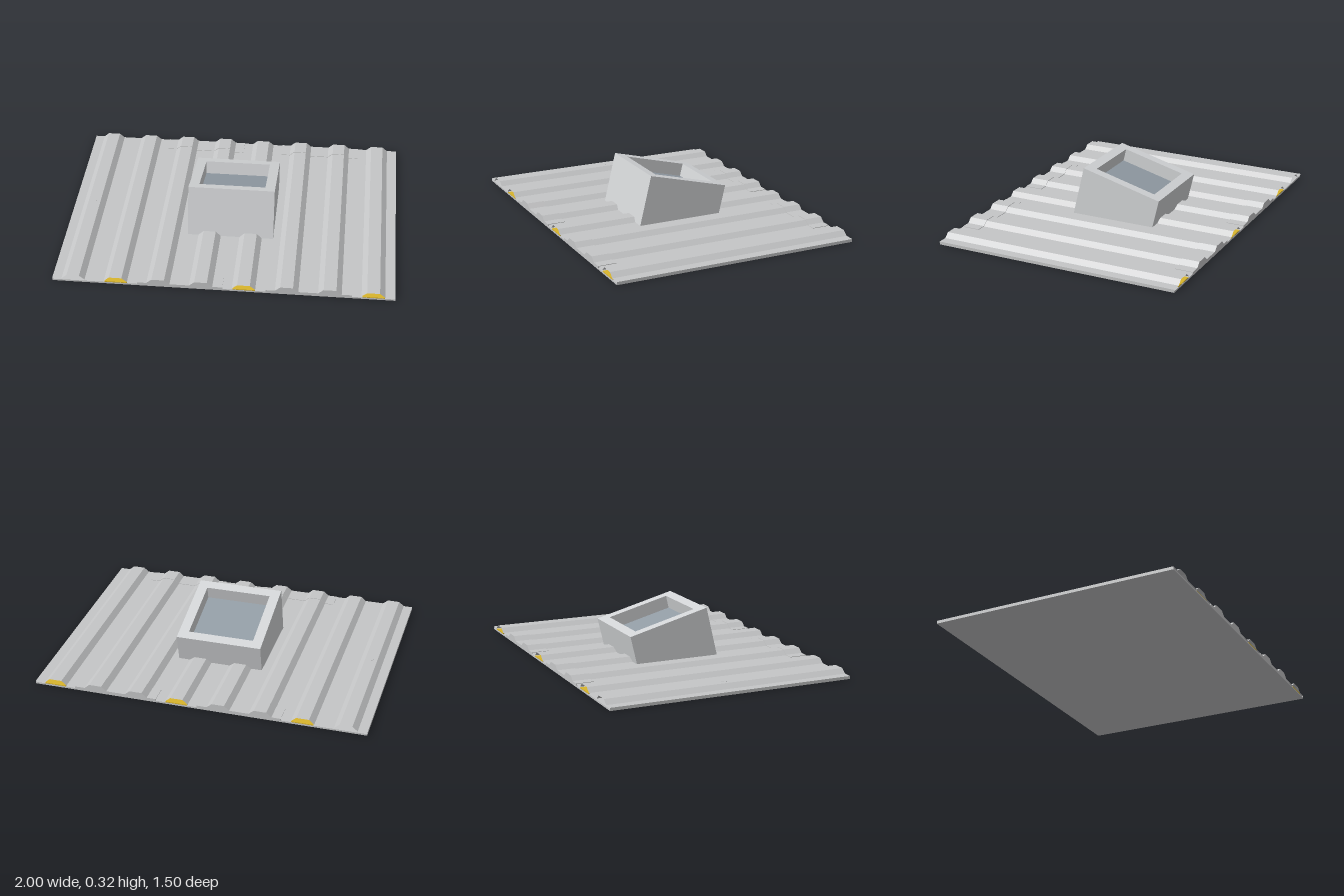
import * as THREE from 'three';

const mat = (name, color, side = THREE.FrontSide) => {
  const m = new THREE.MeshStandardMaterial({ color, side });
  m.name = name;
  return m;
};

export function createModel() {
  const group = new THREE.Group();
  const metal = mat('sheet grey', 0xc5c6c7, THREE.DoubleSide);
  const frameMat = mat('pale frame grey', 0xd3d5d7);
  const glassMat = mat('blue grey glass', 0x929ca5);
  const foam = mat('yellow foam', 0xd8b42c);

  const add = (name, geometry, material, x = 0, y = 0, z = 0) => {
    const mesh = new THREE.Mesh(geometry, material);
    mesh.name = name;
    mesh.position.set(x, y, z);
    group.add(mesh);
    return mesh;
  };

  // Trapezoid rib profile between x0 and x1, lifted by dy
  const profile = (x0, x1, dy = 0) => {
    const pts = [[x0, 0.018 + dy]];
    for (let k = 0; k < 8; k++) {
      const c = -0.876 + k * 0.25;
      if (c < x0 || c > x1) continue;
      pts.push([c - 0.069, 0.018 + dy], [c - 0.038, 0.044 + dy],
        [c + 0.036, 0.044 + dy], [c + 0.067, 0.018 + dy]);
    }
    pts.push([x1, 0.018 + dy]);
    return pts;
  };

  // Solid strip with the rib profile on top
  const ribSolid = (x0, x1, dy, depth) => {
    const pts = [[x0, 0.009], [x1, 0.009], ...profile(x0, x1, dy).reverse()];
    const shape = new THREE.Shape(pts.map(p => new THREE.Vector2(...p)));
    return new THREE.ExtrudeGeometry(shape, { depth, bevelEnabled: false })
      .translate(0, 0, -depth / 2);
  };

  // Backing plate
  add('backingPlate', new THREE.BoxGeometry(2, 0.01, 1.5), metal, 0, 0.005, 0);

  // Corrugated sheet, open at both ends, with folded side lips
  const line = [[-1, 0.008], ...profile(-1, 1), [1, 0.008]];
  const pos = [];
  for (let i = 0; i < line.length - 1; i++) {
    const [ax, ay] = line[i], [bx, by] = line[i + 1];
    pos.push(ax, ay, 0.75, bx, by, 0.75, bx, by, -0.75);
    pos.push(ax, ay, 0.75, bx, by, -0.75, ax, ay, -0.75);
  }
  const sheet = new THREE.BufferGeometry();
  sheet.setAttribute('position', new THREE.Float32BufferAttribute(pos, 3));
  sheet.computeVertexNormals();
  add('corrugatedSheet', sheet, metal);

  // End closures over pairs of ribs, and recessed fillers between them
  for (const s of [-1, 1]) {
    for (const x of [-0.5, 0.25]) {
      add('endClosure', ribSolid(x, x + 0.5, 0.003, 0.11), metal, 0, 0, s * 0.695);
    }
    // Foam strips inside the open ribs
    for (const x of [-0.625, 0.125, 0.875]) {
      add('foamStrip', new THREE.BoxGeometry(0.13, 0.005, 0.05), foam, x, 0.0125, s * 0.7245);
    }
  }
  for (const x of [-0.75, 0]) {
    add('ribFiller', ribSolid(x, x + 0.25, -0.001, 1.4), metal);
  }

  // Fixing screws on the outer ribs
  for (const s of [-1, 1]) {
    add('screw', new THREE.CylinderGeometry(0.017, 0.017, 0.008, 16), metal,
      s * 0.876, s < 0 ? 0.041 : 0.039, 0);
  }

  // Skylight curb: four walls cut from the tilted side outline (z, y)
  const high = [0.19, 0.32], low = [-0.31, 0.19], floor = 0.013;
  const mix = t => [high[0] + (low[0] - high[0]) * t, high[1] + (low[1] - high[1]) * t];
  const drop = ([z, y]) => [z + (y - floor) * 0.24, floor];
  const wall = (name, t0, t1, width, x) => {
    const a = mix(t0), b = mix(t1);
    const shape = new THREE.Shape([a, b, drop(b), drop(a)].map(p => new THREE.Vector2(...p)));
    const g = new THREE.ExtrudeGeometry(shape, { depth: width, bevelEnabled: false });
    g.translate(0, 0, -width / 2).rotateY(-Math.PI / 2);
    add(name, g, frameMat, x);
  };
  wall('curbSideRight', 0, 1, 0.06, -0.23);
  wall('curbSideLeft', 0, 1, 0.06, 0.23);
  wall('curbFront', 0, 0.115, 0.4, 0);
  wall('curbBack', 0.885, 1, 0.4, 0);

  // Sunken glass pane
  const glass = add('glassPane', new THREE.BoxGeometry(0.4, 0.01, 0.41), glassMat, 0, 0.173, -0.039);
  glass.rotation.x = -Math.atan2(0.13, 0.5);

  return group;
}
